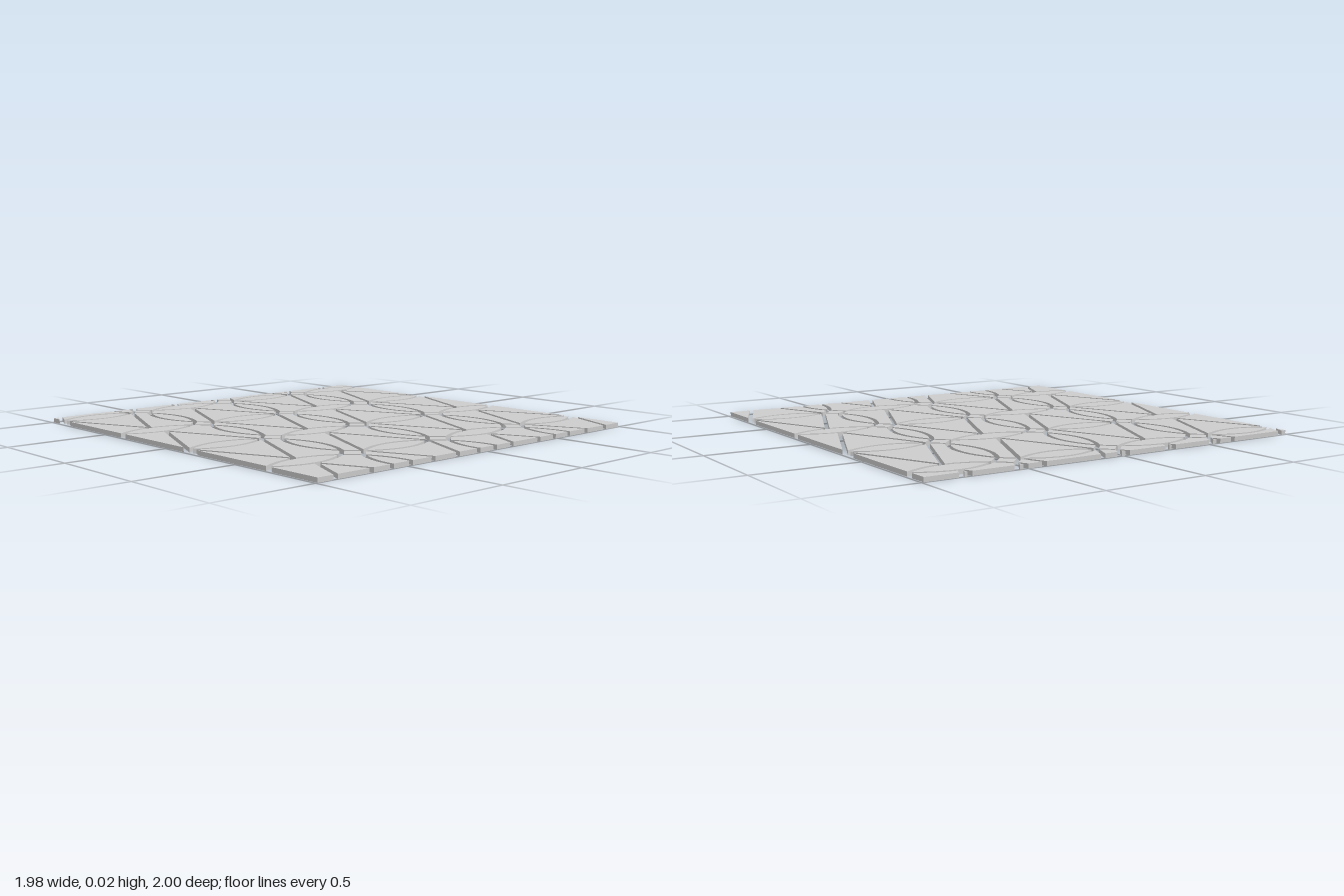
import * as THREE from 'three';

const PITCH = 0.533;          // spacing of the pattern
const ROW0 = -0.89;           // z of the first row of knots
const TIP = 0.066;            // knot centre to lens tip
const HALF_LEN = PITCH / 2 - TIP;
const HALF_W = 0.066, HALF_W_UP = 0.057;   // half widths of lying and upright lenses
const GAP = 0.022, THICK = 0.021;
const EDGE_X = 0.99, EDGE_Z = 1;

const material = new THREE.MeshStandardMaterial({ color: 0xcccccc });

// Points along one side of a lens, from u = a to u = b (u runs -1..1 tip to tip)
function arc(cx, cz, side, a, b, upright = false) {
  const n = Math.round(Math.abs(b - a) * 4);
  return Array.from({ length: n + 1 }, (_, k) => {
    const u = a + (b - a) * k / n;
    const l = u * HALF_LEN;
    const w = side * (upright ? HALF_W_UP : HALF_W) * (1 - u * u);
    return upright ? [cx + w, cz + l] : [cx + l, cz + w];
  });
}

function area(p) {
  return p.reduce((s, [x, z], i) => {
    const [x2, z2] = p[(i + 1) % p.length];
    return s + (x * z2 - x2 * z) / 2;
  }, 0);
}

// Shrink an outline by d with mitred corners
function inset(points, d) {
  const p = area(points) < 0 ? [...points].reverse() : points;
  const normal = (a, b) => {
    const l = Math.hypot(b[0] - a[0], b[1] - a[1]);
    return [-(b[1] - a[1]) / l, (b[0] - a[0]) / l];
  };
  return p.map((c, i) => {
    const n1 = normal(p[(i + p.length - 1) % p.length], c);
    const n2 = normal(c, p[(i + 1) % p.length]);
    const k = d / Math.max(0.1, 1 + n1[0] * n2[0] + n1[1] * n2[1]);
    return [c[0] + (n1[0] + n2[0]) * k, c[1] + (n1[1] + n2[1]) * k];
  });
}

// Trim an outline to sign * coordinate <= limit
function trim(p, axis, sign, limit) {
  const out = [];
  p.forEach((a, i) => {
    const b = p[(i + 1) % p.length];
    const da = limit - sign * a[axis], db = limit - sign * b[axis];
    if (da >= 0) out.push(a);
    if (da * db < 0) {
      const t = da / (da - db);
      out.push([a[0] + (b[0] - a[0]) * t, a[1] + (b[1] - a[1]) * t]);
    }
  });
  return out;
}

// One flat piece: shrunk for the gap, trimmed to the panel and given thickness
function addPiece(group, name, outline) {
  let p = inset(outline, GAP / 2);
  for (const sign of [-1, 1]) {
    p = trim(p, 0, sign, EDGE_X);
    p = trim(p, 1, sign, EDGE_Z);
  }
  if (p.length < 3 || Math.abs(area(p)) < 1e-4) return;
  const shape = new THREE.Shape(p.map(([x, z]) => new THREE.Vector2(x, -z)));
  const geometry = new THREE.ExtrudeGeometry(shape, { depth: THICK, bevelEnabled: false });
  geometry.rotateX(-Math.PI / 2);
  const mesh = new THREE.Mesh(geometry, material);
  mesh.name = name;
  group.add(mesh);
}

export function createModel() {
  const model = new THREE.Group();
  model.name = 'latticePanel';
  const groups = {};
  for (const name of ['diamonds', 'lyingLenses', 'uprightLenses', 'triangles', 'sidePanes']) {
    groups[name] = new THREE.Group();
    groups[name].name = name;
    model.add(groups[name]);
  }

  // Diamonds at the knots and upright lenses between them
  for (let i = -1; i <= 1; i++) {
    const x = i * PITCH;
    for (let j = 0; j <= 4; j++) {
      const z = ROW0 + j * PITCH;
      addPiece(groups.diamonds, 'diamond', [[x + TIP, z], [x, z + TIP], [x - TIP, z], [x, z - TIP]]);
      const mid = z - PITCH / 2;
      addPiece(groups.uprightLenses, 'uprightLens', [
        ...arc(x, mid, 1, -1, 1, true),
        ...arc(x, mid, -1, 1, -1, true).slice(1, -1),
      ]);
    }
  }

  for (let i = 0; i < 4; i++) {
    const x = (i - 1.5) * PITCH;

    // Lying lenses
    for (let j = 0; j < 4; j++) {
      const z = ROW0 + j * PITCH;
      addPiece(groups.lyingLenses, 'lyingLens', [
        ...arc(x, z, 1, -1, 1), ...arc(x, z, -1, 1, -1).slice(1, -1),
      ]);
    }

    // Cells: a triangle pointing alternately to front and back, with a pane on each side
    for (let j = 0; j <= 4; j++) {
      const mid = ROW0 + (j - 0.5) * PITCH;
      const dir = (i + j) % 2 ? 1 : -1;
      const baseZ = mid - dir * PITCH / 2, apexZ = mid + dir * PITCH / 2;
      const apex = [x, apexZ - dir * HALF_W];
      addPiece(groups.triangles, 'triangle', [...arc(x, baseZ, dir, -1, 1), apex]);
      for (const s of [-1, 1]) {
        addPiece(groups.sidePanes, 'sidePane', [
          [x + s * HALF_LEN, baseZ],
          ...arc(x, apexZ, -dir, 0, s),
          ...arc(x + s * PITCH / 2, mid, -s, dir, -dir, true),
        ]);
      }
    }
  }
  return model;
}
